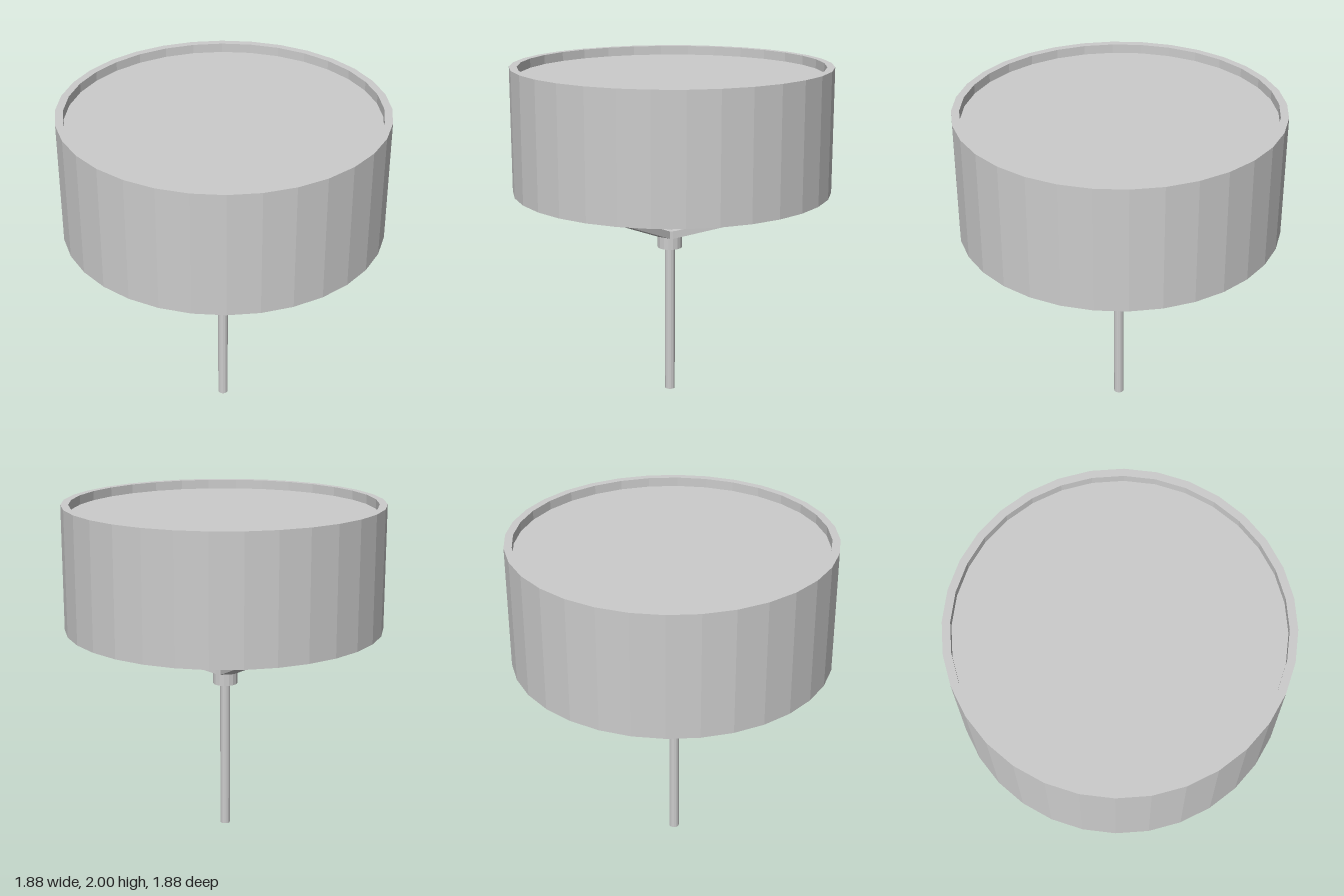
import * as THREE from 'three';

const mat = new THREE.MeshStandardMaterial({ color: 0xcccccc, flatShading: true });

function add(parent, name, geometry) {
  const mesh = new THREE.Mesh(geometry, mat);
  mesh.name = name;
  parent.add(mesh);
  return mesh;
}

export function createModel() {
  const model = new THREE.Group();
  model.name = 'drumOnPole';

  // Faceted drum: closed profile with shallow recesses above and below
  const profile = [
    [0, 1.32], [0.895, 1.32], [0.895, 1.265], [0.94, 1.265],
    [0.94, 2], [0.895, 2], [0.895, 1.945], [0, 1.945],
  ].map(([r, y]) => new THREE.Vector2(r, y));
  add(model, 'drum', new THREE.LatheGeometry(profile, 32));

  // Pole, hub and struts share an axis slightly off the drum's centre
  const stand = new THREE.Group();
  stand.name = 'stand';
  stand.position.set(-0.012, 0, 0.004);
  model.add(stand);

  const pole = add(stand, 'pole', new THREE.CylinderGeometry(0.03, 0.03, 1.32, 16));
  pole.position.y = 0.66;
  const hub = add(stand, 'hub', new THREE.CylinderGeometry(0.074, 0.074, 0.115, 16));
  hub.position.y = 0.9625;

  // Four flat struts rising from the hub: [heading in degrees, reach, slope]
  const width = 0.08, thickness = 0.042;
  const struts = [[36, 0.84, 0.365], [116, 0.85, 0.39], [216, 0.87, 0.375], [299, 0.83, 0.37]];
  for (const [heading, reach, slope] of struts) {
    const pivot = new THREE.Group();
    pivot.name = 'strutPivot';
    pivot.position.y = 0.95;
    pivot.rotation.y = -THREE.MathUtils.degToRad(heading);
    const length = Math.hypot(reach, reach * slope);
    const bar = new THREE.BoxGeometry(length, thickness, width);
    bar.translate(length / 2, thickness / 2, 0);
    add(pivot, 'strut', bar).rotation.z = Math.atan(slope);
    stand.add(pivot);
  }
  return model;
}
